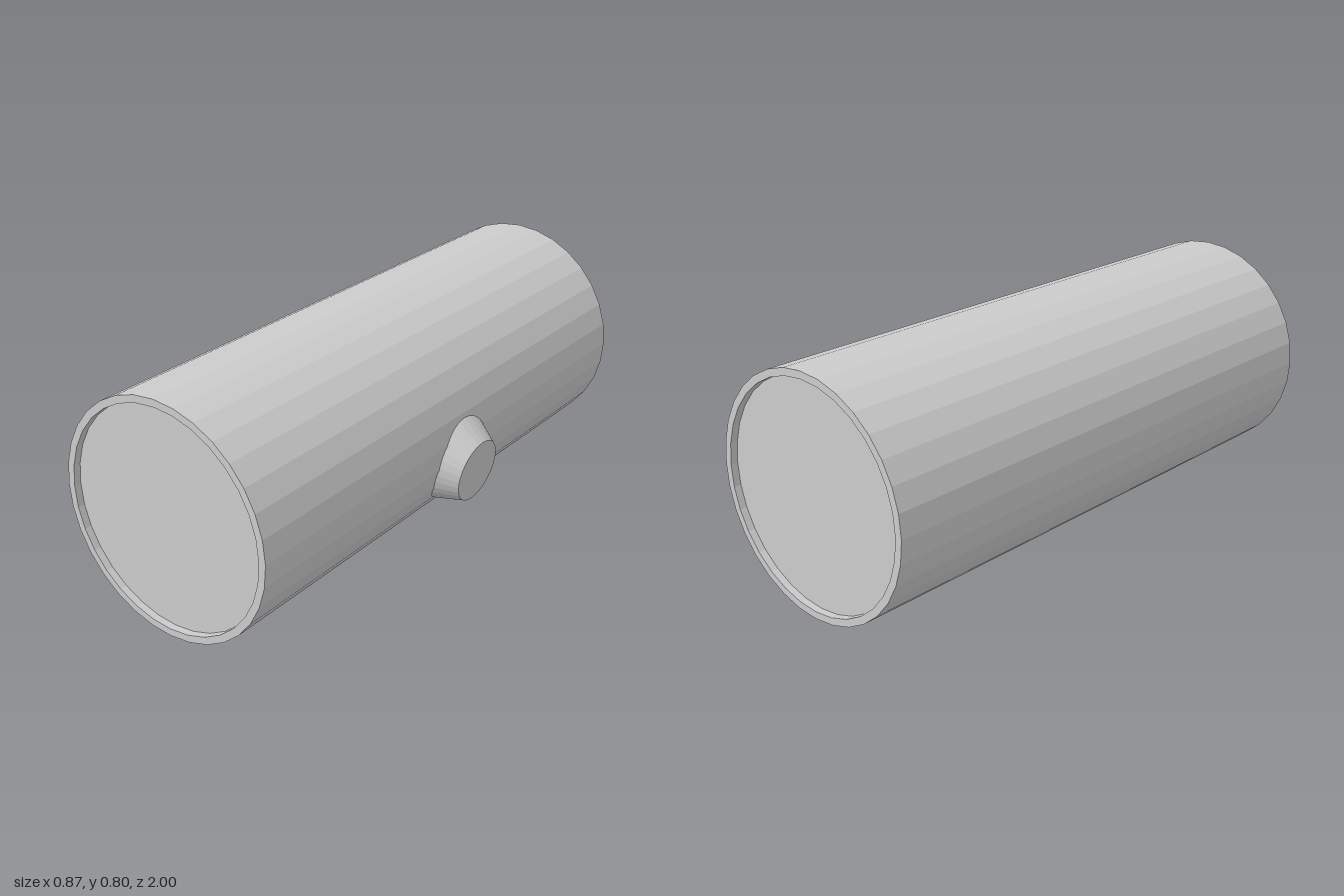
import * as THREE from 'three';

const material = new THREE.MeshStandardMaterial({ color: 0xcccccc, flatShading: true });

export function createModel() {
  const model = new THREE.Group();
  const centreX = -0.035, centreY = 0.403;

  // Long drum with a raised rim around the recessed disc at each end
  const radius = 0.4, inner = 0.375, half = 1, recess = 0.025;
  const profile = [
    [0, -half + recess], [inner, -half + recess], [inner, -half], [radius, -half],
    [radius, half], [inner, half], [inner, half - recess], [0, half - recess],
  ].map(([x, y]) => new THREE.Vector2(x, y));
  const drum = new THREE.Mesh(new THREE.LatheGeometry(profile, 32), material);
  drum.name = 'drum';
  drum.rotation.x = Math.PI / 2;
  drum.position.set(centreX, centreY, 0);
  model.add(drum);

  // Tapered side spout, leaning so that its top flank slopes more than its lower one
  const depth = 0.15, tip = 0.111, taper = 0.51, lean = 0.18;
  const spoutGeometry = new THREE.CylinderGeometry(tip, tip + taper * depth, depth, 32);
  spoutGeometry.translate(0, -depth / 2, 0);
  const p = spoutGeometry.attributes.position;
  for (let i = 0; i < p.count; i++) p.setX(i, p.getX(i) + lean * p.getY(i));
  spoutGeometry.computeVertexNormals();
  const spout = new THREE.Mesh(spoutGeometry, material);
  spout.name = 'sideSpout';
  spout.rotation.z = THREE.MathUtils.degToRad(-99);
  spout.position.set(0.416, 0.282, -0.02);
  model.add(spout);

  return model;
}
